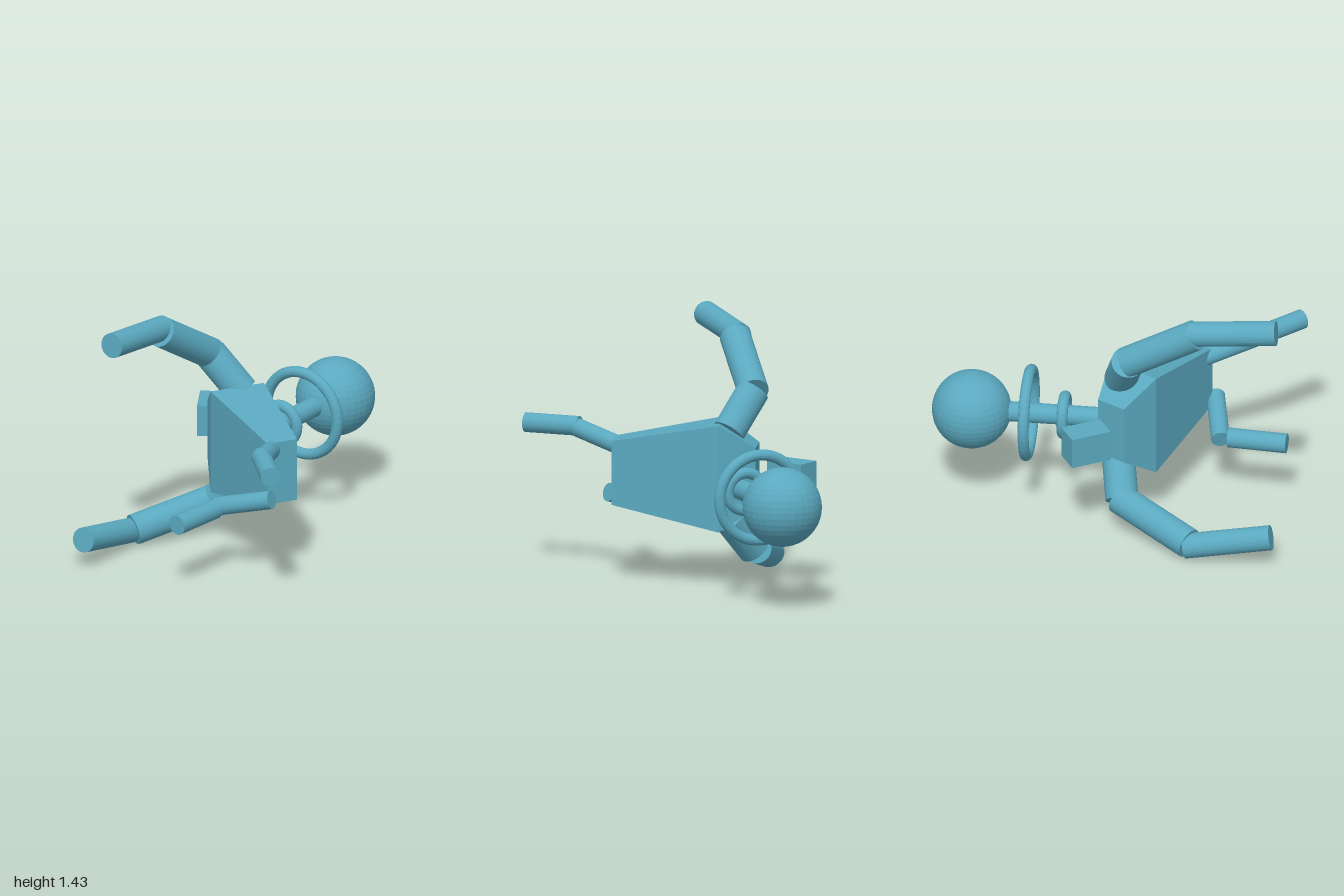
import * as THREE from 'three';

export function createModel() {
  const group = new THREE.Group();
  const teal = new THREE.MeshStandardMaterial({ color: 0x5aa8bf });
  const v = (a) => new THREE.Vector3(...a);

  // Split faces so that every facet is shaded flat
  function add(name, geometry) {
    const flat = geometry.toNonIndexed();
    flat.computeVertexNormals();
    const mesh = new THREE.Mesh(flat, teal);
    mesh.name = name;
    group.add(mesh);
    return mesh;
  }

  // Straight rod between two points
  function rod(name, from, to, radius) {
    const a = v(from), b = v(to);
    const mesh = add(name, new THREE.CylinderGeometry(radius, radius, a.distanceTo(b), 32));
    mesh.position.copy(a).lerp(b, 0.5);
    mesh.quaternion.setFromUnitVectors(new THREE.Vector3(0, 1, 0), b.sub(a).normalize());
  }

  // Body: a box with three sections along its length, widest at the middle one
  const sections = [
    { x: -0.2, y: 0.17, z: 0.09, lift: 0 },
    { x: 0, y: 0.3, z: 0.162, lift: 0 },
    { x: 0.606, y: 0.18, z: 0.09, lift: 0.01 },
  ];
  const bodyGeometry = new THREE.BoxGeometry(2, 2, 2, 2, 1, 1);
  const p = bodyGeometry.attributes.position;
  for (let i = 0; i < p.count; i++) {
    const s = sections[Math.round(p.getX(i)) + 1];
    p.setXYZ(i, s.x, p.getY(i) * s.y + s.lift, p.getZ(i) * s.z);
  }
  const body = add('body', bodyGeometry);
  body.position.set(-0.212, 0.62, 0.125);
  body.rotation.y = -0.452;

  // Block beside the narrow end of the body
  const block = add('endBlock', new THREE.BoxGeometry(0.233, 0.18, 0.15));
  block.position.set(-0.555, 0.62, -0.07);
  block.rotation.y = -0.952;

  // Tail: rod, two rings and a ball
  const tailStart = [-0.195, 0.588, 0.02], tailEnd = [-0.255, 0.588, -0.78];
  const tailAxis = v(tailEnd).sub(v(tailStart)).normalize();
  rod('tailRod', tailStart, tailEnd, 0.056);
  [['smallRing', 0.105, -0.264, -0.216], ['largeRing', 0.24, -0.462, -0.231]].forEach(([name, radius, z, x]) => {
    const ring = add(name, new THREE.TorusGeometry(radius, 0.031, 16, 48));
    ring.position.set(x, 0.588, z);
    ring.quaternion.setFromUnitVectors(new THREE.Vector3(0, 0, 1), tailAxis);
  });
  add('tailBall', new THREE.SphereGeometry(0.221, 32, 20)).position.set(...tailEnd);

  // Limbs: each segment is [start, end, radius]
  const limbs = {
    upperLeg: [
      [[-0.23, 0.87, 0.06], [-0.4, 1.08, 0.135], 0.092],
      [[-0.397, 1.075, 0.125], [-0.428, 1.315, 0.525], 0.087],
      [[-0.442, 1.325, 0.49], [-0.41, 1.37, 0.977], 0.07],
    ],
    lowerLeg: [
      [[-0.23, 0.385, 0.045], [-0.395, 0.19, 0.1], 0.092],
      [[-0.4, 0.2, 0.085], [-0.625, 0.09, 0.527], 0.086],
      [[-0.642, 0.08, 0.505], [-0.605, 0.17, 0.988], 0.07],
    ],
    upperArm: [
      [[0.28, 0.757, 0.425], [0.44, 0.825, 0.69], 0.052],
      [[0.43, 0.833, 0.69], [0.672, 0.833, 0.9], 0.055],
    ],
    lowerArm: [
      [[0.33, 0.49, 0.48], [0.01, 0.4, 0.575], 0.052],
      [[0.035, 0.403, 0.615], [0.035, 0.403, 0.945], 0.055],
    ],
  };
  for (const [name, segments] of Object.entries(limbs)) {
    segments.forEach(([from, to, radius], i) => rod(`${name}Segment${i + 1}`, from, to, radius));
  }

  return group;
}
